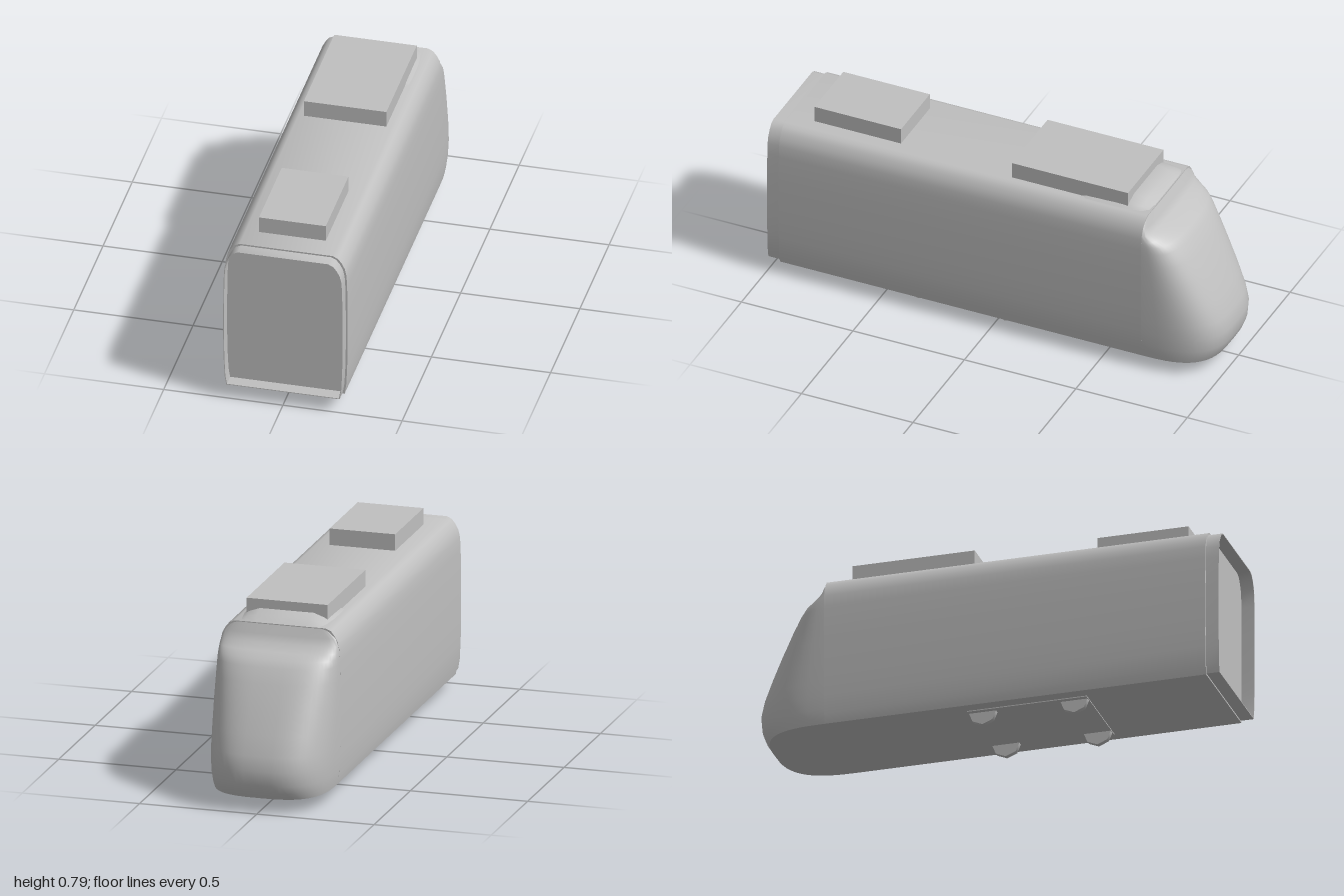
import * as THREE from 'three';
import { toCreasedNormals } from 'three/addons/utils/BufferGeometryUtils.js';

const grey = new THREE.MeshStandardMaterial({ color: 0xc0c0c0 });
grey.name = 'light grey';

// Half cross-section of the car body: [half width, height]
const SECTION = [[0.245, 0.058], [0.252, 0.1], [0.256, 0.18], [0.258, 0.28], [0.258, 0.45], [0.256, 0.58],
  [0.253, 0.63], [0.246, 0.66], [0.233, 0.685], [0.217, 0.705], [0.195, 0.715]];

function halfWidth(y) {
  for (let i = 1; i < SECTION.length; i++) {
    const [w0, y0] = SECTION[i - 1], [w1, y1] = SECTION[i];
    if (y <= y1) return w0 + (w1 - w0) * Math.max(0, (y - y0) / (y1 - y0));
  }
  return SECTION[SECTION.length - 1][0];
}

// Closed body outline, scaled about its middle height
function outline(sx, sy) {
  const right = SECTION.map(([x, y]) => new THREE.Vector2(x * sx, 0.386 + (y - 0.386) * sy));
  const left = right.map((p) => new THREE.Vector2(-p.x, p.y)).reverse();
  return [...right, ...left];
}

function extrude(shape, z0, z1) {
  const geo = new THREE.ExtrudeGeometry(shape, { depth: z1 - z0, bevelEnabled: false });
  geo.translate(0, 0, z0);
  return toCreasedNormals(geo, 0.7);
}

// Surface through rows of points, with an optional fan closing the first row
function loft(rows, fanCentre) {
  const n = rows[0].length, index = [];
  const points = rows.flat();
  for (let j = 0; j < rows.length - 1; j++) {
    for (let i = 0; i < n - 1; i++) {
      const a = j * n + i, c = a + n;
      index.push(a, a + 1, c, a + 1, c + 1, c);
    }
  }
  if (fanCentre) {
    points.push(fanCentre);
    for (let i = 0; i < n - 1; i++) index.push(points.length - 1, i + 1, i);
  }
  const geo = new THREE.BufferGeometry();
  geo.setAttribute('position', new THREE.Float32BufferAttribute(points.flat(), 3));
  geo.setIndex(index);
  return toCreasedNormals(geo, 0.8);
}

export function createModel() {
  const group = new THREE.Group();
  const add = (name, geo, x = 0, y = 0, z = 0) => {
    const mesh = new THREE.Mesh(geo, grey);
    mesh.name = name;
    mesh.position.set(x, y, z);
    group.add(mesh);
    return mesh;
  };
  const addBox = (name, x, y0, y1, z0, z1) =>
    add(name, new THREE.BoxGeometry(2 * x, y1 - y0, z1 - z0), 0, (y0 + y1) / 2, (z0 + z1) / 2);

  // Main body; its end face is the back of the gangway recess
  add('carBody', extrude(new THREE.Shape(outline(1, 1)), -0.68, 0.945));

  // Open frame around the recessed end
  const frame = new THREE.Shape(outline(0.97, 0.98));
  frame.holes.push(new THREE.Path(outline(0.958, 0.97).reverse()));
  add('gangwayFrame', extrude(frame, 0.94, 1));

  // Nose: level slices, each a rounded plan curve reaching forward to its own tip
  const rear = -0.675, steps = 28;
  const slices = [[0.058, -0.965], [0.085, -0.982], [0.12, -0.995], [0.18, -1], [0.24, -0.985], [0.32, -0.952],
    [0.42, -0.905], [0.51, -0.858], [0.57, -0.822], [0.598, -0.798], [0.62, -0.76], [0.645, -0.715],
    [0.675, -0.7], [0.712, -0.682]];
  const noseRows = slices.map(([y, tip]) => {
    const row = [];
    for (let i = 0; i <= steps; i++) {
      const a = (i / steps) * Math.PI, c = Math.cos(a);
      const x = Math.sign(c) * Math.abs(c) ** (2 / 3) * halfWidth(y);
      const t = Math.max(0, Math.sin(a)) ** (2 / 3);
      row.push([x, y, rear + (tip - rear) * t]);
    }
    return row;
  });
  add('nose', loft(noseRows, [0, 0.058, rear]));

  // Low fairing that blends the front roof box into the nose: [z, height, half width]
  const stations = [[-0.37, 0.712, 0.19], [-0.4, 0.733, 0.198], [-0.48, 0.738, 0.198], [-0.55, 0.745, 0.195],
    [-0.59, 0.747, 0.19], [-0.64, 0.736, 0.185], [-0.68, 0.713, 0.18]];
  const fairingRows = stations.map(([z, h, w]) =>
    [-1, -0.93, -0.84, -0.6, 0, 0.6, 0.84, 0.93, 1].map((u) => {
      const drop = Math.max(0, (Math.abs(u) - 0.6) / 0.4) ** 1.6;
      return [u * w, h + (0.71 - h) * drop, z];
    }));
  add('roofFairing', loft(fairingRows));

  // Roof equipment boxes
  addBox('frontRoofBox', 0.173, 0.705, 0.785, -0.583, -0.063);
  addBox('rearRoofBox', 0.14, 0.705, 0.785, 0.45, 0.838);

  // Bogie plate and wheels
  addBox('bogiePlate', 0.193, 0.054, 0.07, -0.09, 0.42);
  const wheel = new THREE.CylinderGeometry(0.06, 0.06, 0.022, 8).rotateZ(Math.PI / 2);
  for (const z of [0.36, -0.03]) {
    for (const side of [-1, 1]) add('wheel', wheel, side * 0.162, 0.06, z);
  }
  return group;
}
